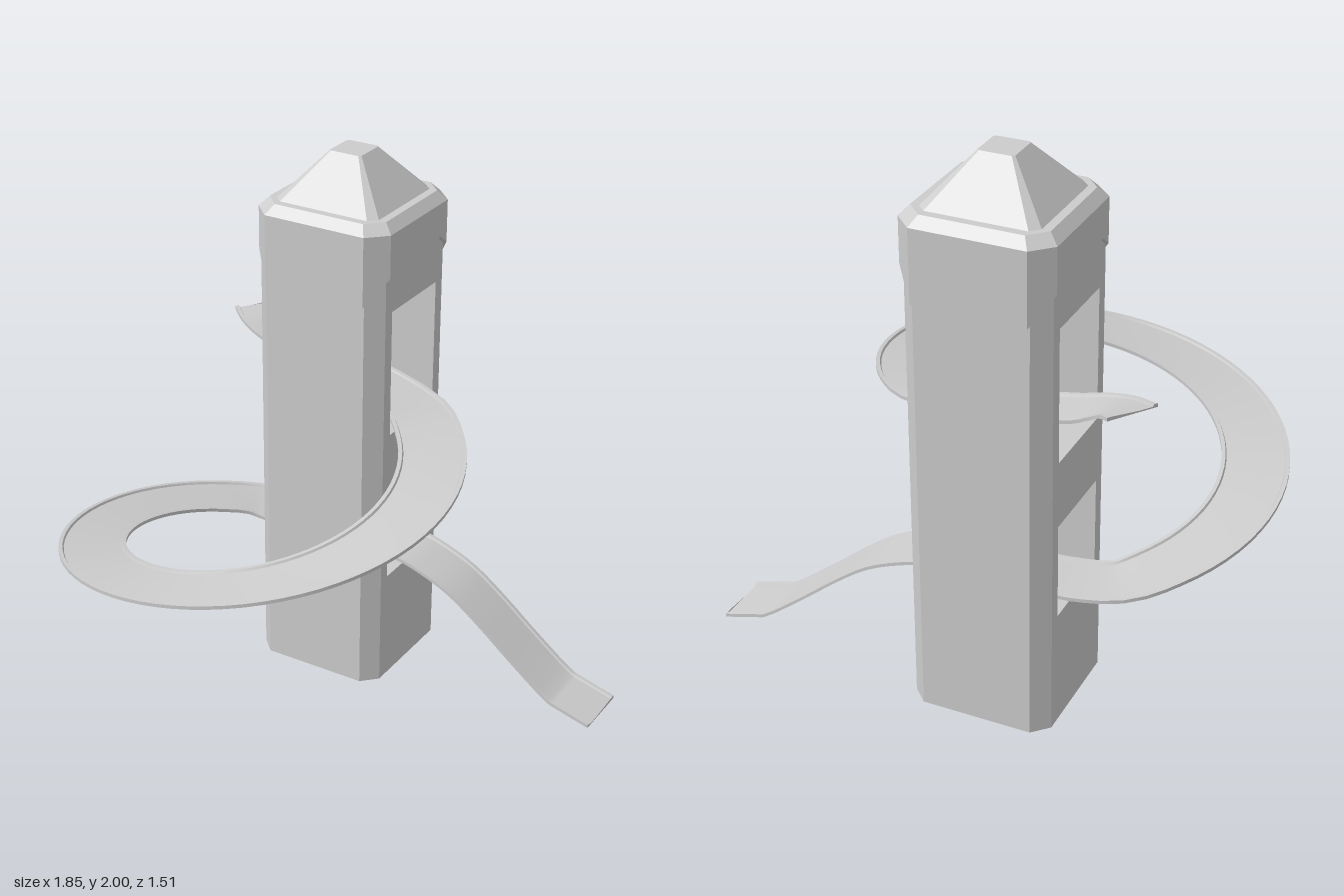
import * as THREE from 'three';
import { toCreasedNormals } from 'three/addons/utils/BufferGeometryUtils.js';

const material = new THREE.MeshStandardMaterial({ color: 0xcccccc });

// Skin a list of equal-length point rows; optionally close each row and cap the ends
function loft(rows, { closed = true, capStart = false, capEnd = false, crease = 0.5 } = {}) {
  const n = rows[0].length, index = [];
  for (let i = 0; i < rows.length - 1; i++) {
    for (let j = 0; j < (closed ? n : n - 1); j++) {
      const k = (j + 1) % n;
      const a = i * n + j, b = i * n + k;
      index.push(a, b, b + n, a, b + n, a + n);
    }
  }
  const last = (rows.length - 1) * n;
  for (let j = 1; j < n - 1; j++) {
    if (capStart) index.push(0, j + 1, j);
    if (capEnd) index.push(last, last + j, last + j + 1);
  }
  const g = new THREE.BufferGeometry();
  g.setAttribute('position', new THREE.Float32BufferAttribute(rows.flat(2), 3));
  g.setIndex(index);
  return toCreasedNormals(g, crease);
}

function add(parent, name, geometry) {
  const mesh = new THREE.Mesh(geometry, material);
  mesh.name = name;
  parent.add(mesh);
  return mesh;
}

// Square tower with chamfered corners and two openings running through along x
function makeTower() {
  const tower = new THREE.Group();
  tower.name = 'tower';
  const half = 0.255, flat = 0.2, height = 1.7, windowHalf = 0.155;
  const windows = [[0.43, 0.78], [1.02, 1.5]];

  // front and back walls, each with its two corner chamfers
  const wall = [0, height].map(y =>
    [[-half, y, flat], [-flat, y, half], [flat, y, half], [half, y, flat]]);
  const panel = new THREE.Shape([[-flat, 0], [flat, 0], [flat, height], [-flat, height]]
    .map(p => new THREE.Vector2(...p)));
  for (const [y0, y1] of windows) {
    panel.holes.push(new THREE.Path([[-windowHalf, y0], [-windowHalf, y1], [windowHalf, y1], [windowHalf, y0]]
      .map(p => new THREE.Vector2(...p))));
  }
  for (const s of [1, -1]) {
    add(tower, s > 0 ? 'frontWall' : 'backWall', loft(wall, { closed: false })).rotation.y = s > 0 ? 0 : Math.PI;
    const side = add(tower, s > 0 ? 'leftWall' : 'rightWall', new THREE.ShapeGeometry(panel));
    side.rotation.y = s * Math.PI / 2;
    side.position.x = s * half;
  }

  // inner faces of the openings
  for (const [y0, y1] of windows) {
    add(tower, 'opening', loft([-half, half].map(x =>
      [[x, y0, -windowHalf], [x, y0, windowHalf], [x, y1, windowHalf], [x, y1, -windowHalf]])));
  }

  // underside
  const base = new THREE.Shape([[-flat, -half], [flat, -half], [half, -flat], [half, flat],
    [flat, half], [-flat, half], [-half, flat], [-half, -flat]].map(p => new THREE.Vector2(...p)));
  add(tower, 'base', new THREE.ShapeGeometry(base).rotateX(Math.PI / 2));
  return tower;
}

// Roof cap: collar with arched sides, bevelled shoulder and truncated pyramid
function makeRoof() {
  const ring = (h, c, yFront, yCorner = yFront, yArch = yFront) => {
    const f = h - c, m = 0.58 * h;
    const halfRing = [[-f, yFront, h], [f, yFront, h], [h, yCorner, f],
      [h, yArch, m], [h, yArch, -m], [h, yCorner, -f]];
    return [...halfRing, ...halfRing.map(([x, y, z]) => [-x, y, -z])];
  };
  return loft([
    ring(0.245, 0.06, 1.54, 1.64, 1.675),
    ring(0.267, 0.068, 1.54, 1.64, 1.675),
    ring(0.267, 0.068, 1.8),
    ring(0.235, 0.058, 1.835),
    ring(0.205, 0.03, 1.835),
    ring(0.063, 0.008, 2.0),
  ], { capEnd: true });
}

// Spiral slide: entry lip, one turn round the ring, then a straight run-out
function makeSlide() {
  const stations = [ // x, y, z, half width
    [-0.635, 1.25, -0.625, 0.092], [-0.57, 1.225, -0.578, 0.092], [-0.5, 1.2, -0.556, 0.094],
    [-0.4, 1.17, -0.554, 0.096], [-0.15, 1.125, -0.555, 0.105],
  ];
  for (let deg = -55; deg <= 235; deg += 14.5) {
    const a = THREE.MathUtils.degToRad(deg);
    stations.push([-0.203 + 0.603 * Math.cos(a), 0.97 - 0.002 * deg, 0.025 + 0.605 * Math.sin(a), 0.12]);
  }
  stations.push(
    [-0.41, 0.483, -0.5, 0.118], [-0.15, 0.48, -0.515, 0.113], [0.11, 0.475, -0.515, 0.112],
    [0.21, 0.448, -0.515, 0.112], [0.33, 0.395, -0.515, 0.112], [0.45, 0.31, -0.515, 0.112],
    [0.6, 0.188, -0.515, 0.112], [0.76, 0.068, -0.515, 0.112], [0.79, 0.058, -0.515, 0.112],
    [0.925, 0.02, -0.515, 0.112]);

  const curve = new THREE.CatmullRomCurve3(stations.map(s => new THREE.Vector3(s[0], s[1], s[2])));
  const steps = (stations.length - 1) * 3, rows = [];
  const up = new THREE.Vector3(0, 1, 0);
  for (let i = 0; i <= steps; i++) {
    const t = i / steps, p = curve.getPoint(t);
    const left = up.clone().cross(curve.getTangent(t)).normalize();
    const k = Math.min(Math.floor(i / 3), stations.length - 2);
    const w = THREE.MathUtils.lerp(stations[k][3], stations[k + 1][3], i / 3 - k);
    // thin bed with a low rim along both edges
    const section = [[-w, 0], [w, 0], [w, 0.013], [w - 0.014, 0.013], [w - 0.018, 0.005],
      [-w + 0.018, 0.005], [-w + 0.014, 0.013], [-w, 0.013]];
    rows.push(section.map(([l, y]) => [p.x + left.x * l, p.y - 0.006 + y, p.z + left.z * l]));
  }
  return loft(rows, { capStart: true, capEnd: true });
}

export function createModel() {
  const model = new THREE.Group();
  model.name = 'slideTower';
  const tower = makeTower();
  tower.position.set(-0.145, 0, -0.495);
  model.add(tower);
  add(model, 'roof', makeRoof()).position.set(-0.144, 0, -0.498);
  add(model, 'slide', makeSlide());
  return model;
}
